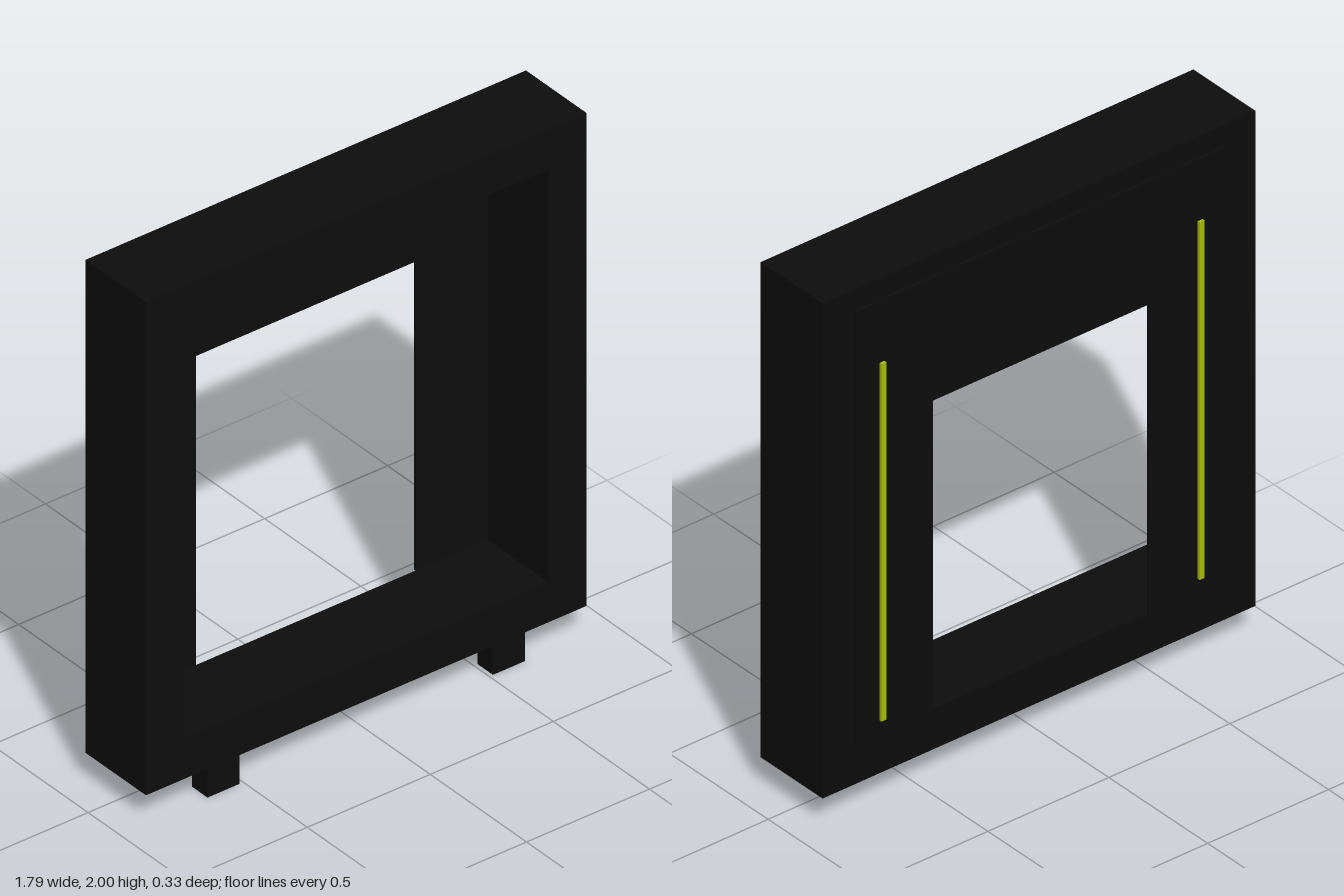
import * as THREE from 'three';

const black = new THREE.MeshStandardMaterial({ name: 'black', color: 0x0d0d0d });
const lime = new THREE.MeshStandardMaterial({ name: 'lime', color: 0xa8be08 });

// Closed outline from corner pairs
function outline(points, Type = THREE.Shape) {
  return new Type(points.map(([x, y]) => new THREE.Vector2(x, y)));
}

function rectangle(halfWidth, bottom, top) {
  return [[-halfWidth, bottom], [halfWidth, bottom], [halfWidth, top], [-halfWidth, top]];
}

// Extrude a shape between two depths
function slab(name, shape, back, front) {
  const geometry = new THREE.ExtrudeGeometry(shape, { depth: front - back, bevelEnabled: false });
  geometry.translate(0, 0, back);
  const mesh = new THREE.Mesh(geometry, black);
  mesh.name = name;
  return mesh;
}

function box(name, size, position, material) {
  const mesh = new THREE.Mesh(new THREE.BoxGeometry(...size), material);
  mesh.name = name;
  mesh.position.set(...position);
  return mesh;
}

export function createModel() {
  const model = new THREE.Group();
  model.name = 'frameStand';

  // Deep rectangular surround
  const surround = outline(rectangle(0.895, 0.11, 2));
  surround.holes.push(outline(rectangle(0.74, 0.265, 1.845), THREE.Path));
  model.add(slab('outerFrame', surround, -0.147, 0.167));

  // Thin back panel with a doorway cut up from its lower edge
  const panel = outline([
    [-0.765, 0.265], [-0.447, 0.265], [-0.447, 1.45], [0.447, 1.45],
    [0.447, 0.265], [0.765, 0.265], [0.765, 1.92], [-0.765, 1.92],
  ]);
  model.add(slab('backPanel', panel, -0.157, -0.146));

  // Light strips on the back and feet under the front edge
  for (const [side, s] of [['left', 1], ['right', -1]]) {
    model.add(box(side + 'LightStrip', [0.02, 1.365, 0.011], [s * 0.658, 1.0025, -0.1615], lime));
    model.add(box(side + 'Foot', [0.13, 0.11, 0.08], [s * 0.58, 0.055, 0.127], black));
  }
  return model;
}
